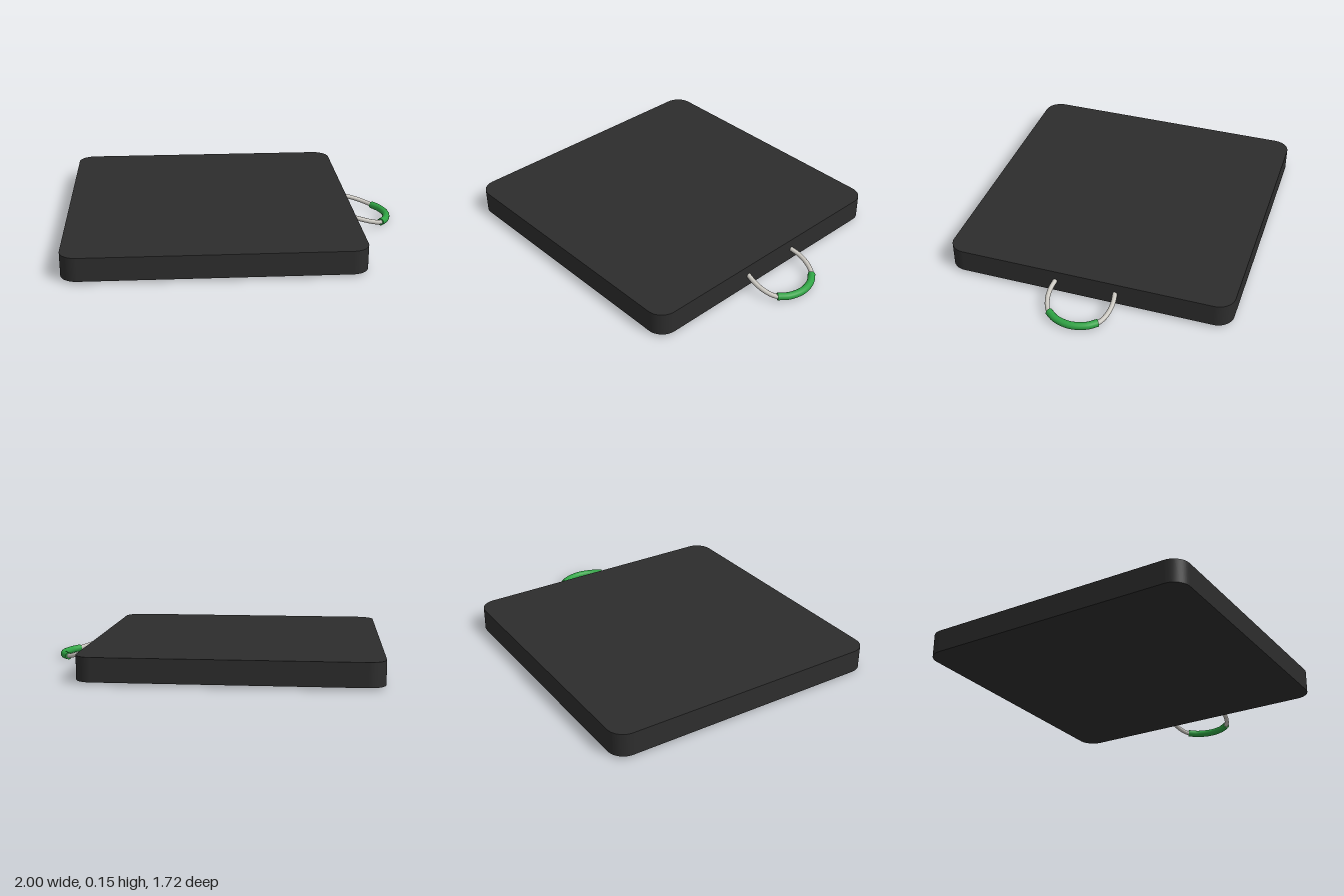
import * as THREE from 'three';

const padMat = new THREE.MeshStandardMaterial({ name: 'black plastic', color: 0x2d2d2d });
const ropeMat = new THREE.MeshStandardMaterial({ name: 'pale rope', color: 0xc8c5be });
const gripMat = new THREE.MeshStandardMaterial({ name: 'green grip', color: 0x2fa344 });

// Half of the rope path, from inside the pad to the middle of the grip
const HALF = [
  [0.68, 0.092, 0.172], [0.72, 0.083, 0.182], [0.79, 0.064, 0.19], [0.86, 0.042, 0.178],
  [0.915, 0.026, 0.147], [0.955, 0.023, 0.09], [0.976, 0.022, 0],
];

// Mirrors a half path across z = 0 into one smooth curve
function mirroredCurve(half) {
  const pts = half.map(p => new THREE.Vector3(...p));
  const other = pts.slice(0, -1).reverse().map(p => new THREE.Vector3(p.x, p.y, -p.z));
  return new THREE.CatmullRomCurve3([...pts, ...other]);
}

function addMesh(parent, name, geometry, material) {
  const mesh = new THREE.Mesh(geometry, material);
  mesh.name = name;
  parent.add(mesh);
  return mesh;
}

export function createModel() {
  const model = new THREE.Group();
  model.name = 'outriggerPad';

  // Square slab with rounded corners
  const x0 = -1, x1 = 0.72, z = 0.86, r = 0.1;
  const outline = new THREE.Shape();
  outline.absarc(x1 - r, z - r, r, 0, Math.PI / 2);
  outline.absarc(x0 + r, z - r, r, Math.PI / 2, Math.PI);
  outline.absarc(x0 + r, -z + r, r, Math.PI, Math.PI * 1.5);
  outline.absarc(x1 - r, -z + r, r, Math.PI * 1.5, Math.PI * 2);
  const slab = new THREE.ExtrudeGeometry(outline, { depth: 0.14, bevelEnabled: false, curveSegments: 16 });
  slab.rotateX(-Math.PI / 2).translate(0, 0.013, 0);
  addMesh(model, 'pad', slab, padMat);

  // Drooping rope handle
  const handle = new THREE.Group();
  handle.name = 'handle';
  model.add(handle);
  addMesh(handle, 'rope', new THREE.TubeGeometry(mirroredCurve(HALF), 64, 0.014, 12), ropeMat);

  // Sleeve around the outer part of the rope
  const gripCurve = mirroredCurve(HALF.slice(4));
  const gripRadius = 0.022;
  addMesh(handle, 'grip', new THREE.TubeGeometry(gripCurve, 40, gripRadius, 16), gripMat);

  // Flat ends of the sleeve
  for (const [t, sign] of [[0, -1], [1, 1]]) {
    const cap = addMesh(handle, 'gripEnd', new THREE.CircleGeometry(gripRadius, 16), gripMat);
    const outward = gripCurve.getTangentAt(t).multiplyScalar(sign);
    cap.position.copy(gripCurve.getPointAt(t));
    cap.quaternion.setFromUnitVectors(new THREE.Vector3(0, 0, 1), outward);
  }

  return model;
}
